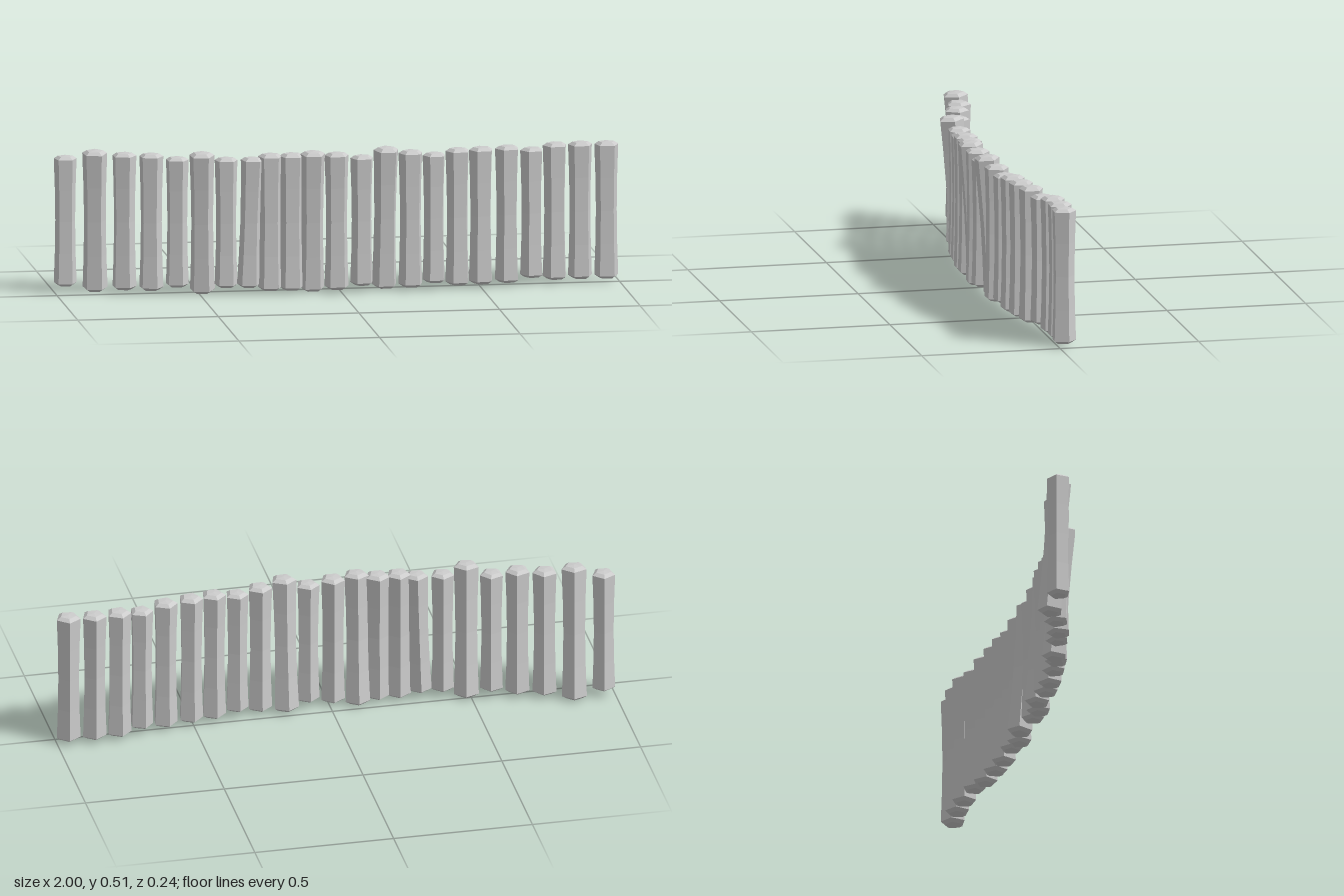
import * as THREE from 'three';

// Each post: x, z, size, forward lean (radians)
const POSTS = [
  [-0.96, -0.073, 0.95, 0], [-0.857, -0.062, 1.04, 0.07], [-0.757, -0.035, 1, 0],
  [-0.665, -0.007, 1, 0], [-0.575, 0.009, 0.95, 0], [-0.49, 0.036, 1.04, 0.07],
  [-0.405, 0.044, 0.95, 0], [-0.32, 0.053, 0.95, 0], [-0.25, 0.056, 1, 0],
  [-0.175, 0.058, 1, 0], [-0.1, 0.058, 1.03, 0.06], [-0.015, 0.067, 1, 0],
  [0.075, 0.067, 0.95, 0], [0.16, 0.056, 1.04, 0.07], [0.25, 0.058, 1, 0],
  [0.335, 0.048, 0.95, 0], [0.42, 0.039, 1, 0], [0.505, 0.028, 1, 0],
  [0.6, 0.013, 1, 0], [0.69, -0.006, 0.95, 0], [0.775, -0.024, 1, 0],
  [0.865, -0.028, 1, 0], [0.957, -0.022, 1, 0],
];
const RADIUS = 0.0445;

// Five-sided post with a narrow waist and chamfered ends; flat side to the front
function postGeometry() {
  const half = [[0.87, 0], [0.91, 0.12], [1, 0.233], [0.65, 0.243], [0, 0.245]];
  const lower = half.slice(1).reverse().map(([r, y]) => [r, -y]);
  const profile = [...lower, ...half].map(([r, y]) => new THREE.Vector2(r * RADIUS, y));
  return new THREE.LatheGeometry(profile, 5, Math.PI);
}

export function createModel() {
  const model = new THREE.Group();
  model.name = 'palisade';
  const material = new THREE.MeshStandardMaterial({ color: 0xcccccc, flatShading: true });
  const geometry = postGeometry();

  POSTS.forEach(([x, z, size, lean], i) => {
    const before = POSTS[Math.max(i - 1, 0)];
    const after = POSTS[Math.min(i + 1, POSTS.length - 1)];
    const post = new THREE.Mesh(geometry, material);
    post.name = `post${i + 1}`;
    post.scale.setScalar(size);
    post.position.set(x, i === 13 ? 0.267 : 0.261, z);
    // Turn each post to follow the curve of the fence
    post.rotation.order = 'YXZ';
    post.rotation.y = -Math.atan2(after[1] - before[1], after[0] - before[0]);
    post.rotation.x = lean;
    // One post sags slightly sideways
    if (i === 7) post.rotation.z = -0.03;
    model.add(post);
  });
  return model;
}
